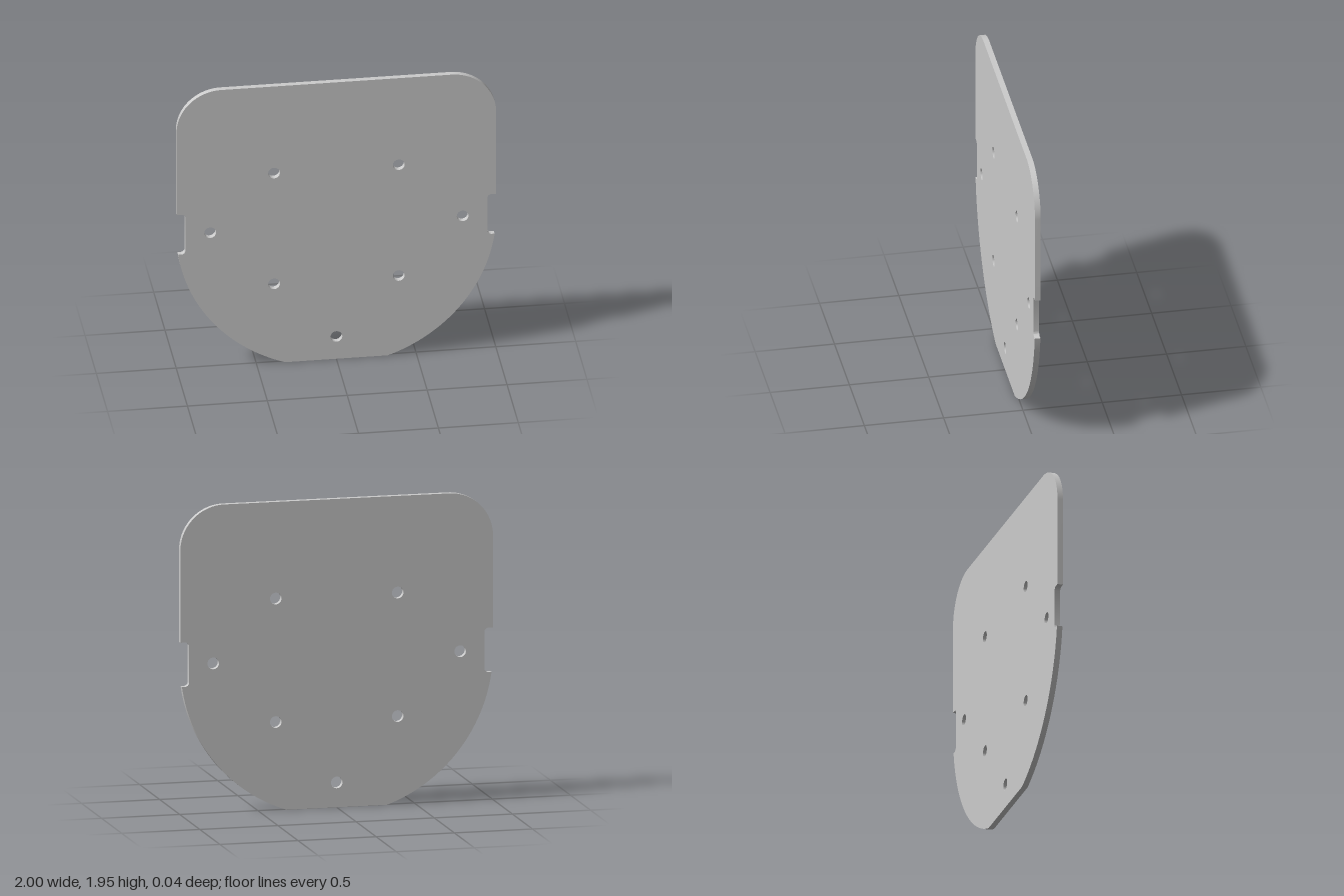
import * as THREE from 'three';
import { toCreasedNormals } from 'three/addons/utils/BufferGeometryUtils.js';

const CY = 0.947;        // centre of the round lower edge (radius 1)
const TOP = 1.947;
const THICK = 0.036;
const CORNER = 0.28;     // upper corner radius
const NOTCH = { x: 0.945, half: 0.14, fillet: 0.025 };
const HOLE_R = 0.037;

// Right half of the outline, from the flat foot up to the top edge
function halfOutline() {
  const { x, half, fillet: f } = NOTCH;
  const low = CY - half, high = CY + half;
  const path = new THREE.Path();
  path.absarc(0, CY, 1, -Math.asin(CY), -Math.asin(half), false);
  path.lineTo(x + f, low);
  path.absarc(x + f, low + f, f, -Math.PI / 2, -Math.PI, true);
  path.lineTo(x, high - f);
  path.absarc(x + f, high - f, f, Math.PI, Math.PI / 2, true);
  path.lineTo(1, high);
  path.lineTo(1, TOP - CORNER);
  path.absarc(1 - CORNER, TOP - CORNER, CORNER, 0, Math.PI / 2, false);
  return path.getPoints(16);
}

export function createModel() {
  const group = new THREE.Group();
  group.name = 'mountingPlate';

  // Mirror the half outline to close the plate
  const right = halfOutline();
  const left = right.map(p => new THREE.Vector2(-p.x, p.y)).reverse();
  const shape = new THREE.Shape([...right, ...left]);

  // Bolt holes: a square of four, one at each side and one at the foot
  const holes = [[0, -0.79]];
  for (const s of [-1, 1]) holes.push([s * 0.39, 0.39], [s * 0.39, -0.39], [s * 0.79, 0]);
  for (const [x, y] of holes) {
    const hole = new THREE.Path();
    hole.absarc(x, CY + y, HOLE_R, 0, Math.PI * 2, true);
    shape.holes.push(hole);
  }

  const geometry = new THREE.ExtrudeGeometry(shape, { depth: THICK, bevelEnabled: false, curveSegments: 32 });
  geometry.translate(0, 0, -THICK / 2);
  const plate = new THREE.Mesh(
    toCreasedNormals(geometry, Math.PI / 6),
    new THREE.MeshStandardMaterial({ color: 0xcccccc })
  );
  plate.name = 'plate';
  group.add(plate);
  return group;
}
